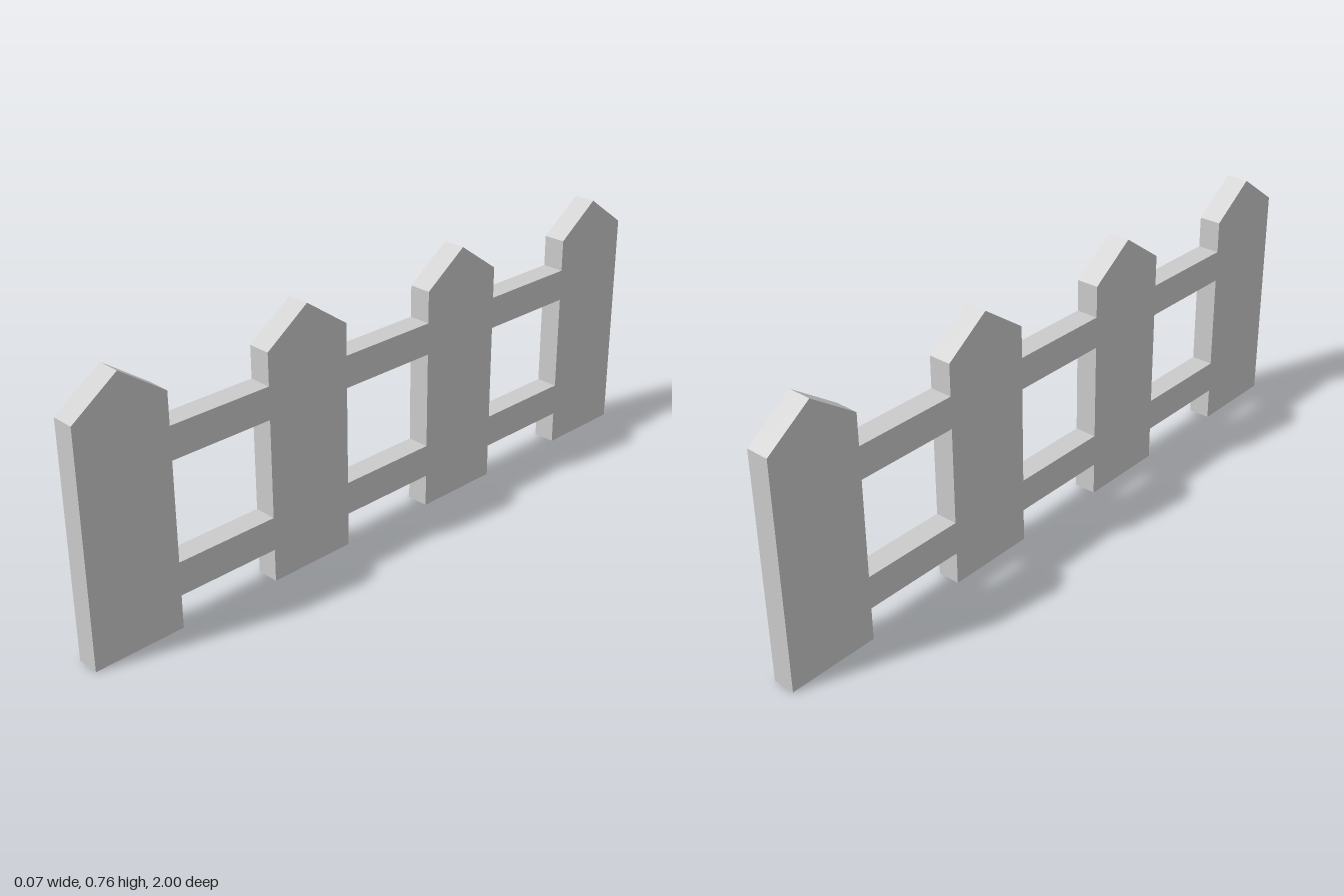
import * as THREE from 'three';

const THICK = 0.067;
const WIDTH = 0.268;
const SHOULDER = 0.668;
const PEAK = 0.763;
const CENTERS = [0.866, 0.2887, -0.2887, -0.866];

export function createModel() {
  const fence = new THREE.Group();
  fence.name = 'picketFence';
  const material = new THREE.MeshStandardMaterial({ color: 0xcccccc, flatShading: true });

  const add = (name, geometry, y, z) => {
    const mesh = new THREE.Mesh(geometry, material);
    mesh.name = name;
    mesh.position.set(0, y, z);
    fence.add(mesh);
  };

  // Picket: pointed board, extruded through its thickness and turned to run along z
  const h = WIDTH / 2;
  const outline = new THREE.Shape([
    new THREE.Vector2(-h, 0),
    new THREE.Vector2(h, 0),
    new THREE.Vector2(h, SHOULDER),
    new THREE.Vector2(0, PEAK),
    new THREE.Vector2(-h, SHOULDER),
  ]);
  const picket = new THREE.ExtrudeGeometry(outline, { depth: THICK, bevelEnabled: false });
  picket.translate(0, 0, -THICK / 2).rotateY(-Math.PI / 2);
  CENTERS.forEach((z, i) => add(`picket${i + 1}`, picket, 0, z));

  // Rails: flush segments filling the gaps between neighbouring pickets
  const rails = [['lowerRail', 0.097, 0.194], ['upperRail', 0.481, 0.575]];
  for (const [name, bottom, top] of rails) {
    for (let i = 0; i < CENTERS.length - 1; i++) {
      const gap = CENTERS[i] - CENTERS[i + 1] - WIDTH;
      const rail = new THREE.BoxGeometry(THICK, top - bottom, gap);
      add(`${name}${i + 1}`, rail, (bottom + top) / 2, (CENTERS[i] + CENTERS[i + 1]) / 2);
    }
  }

  return fence;
}
